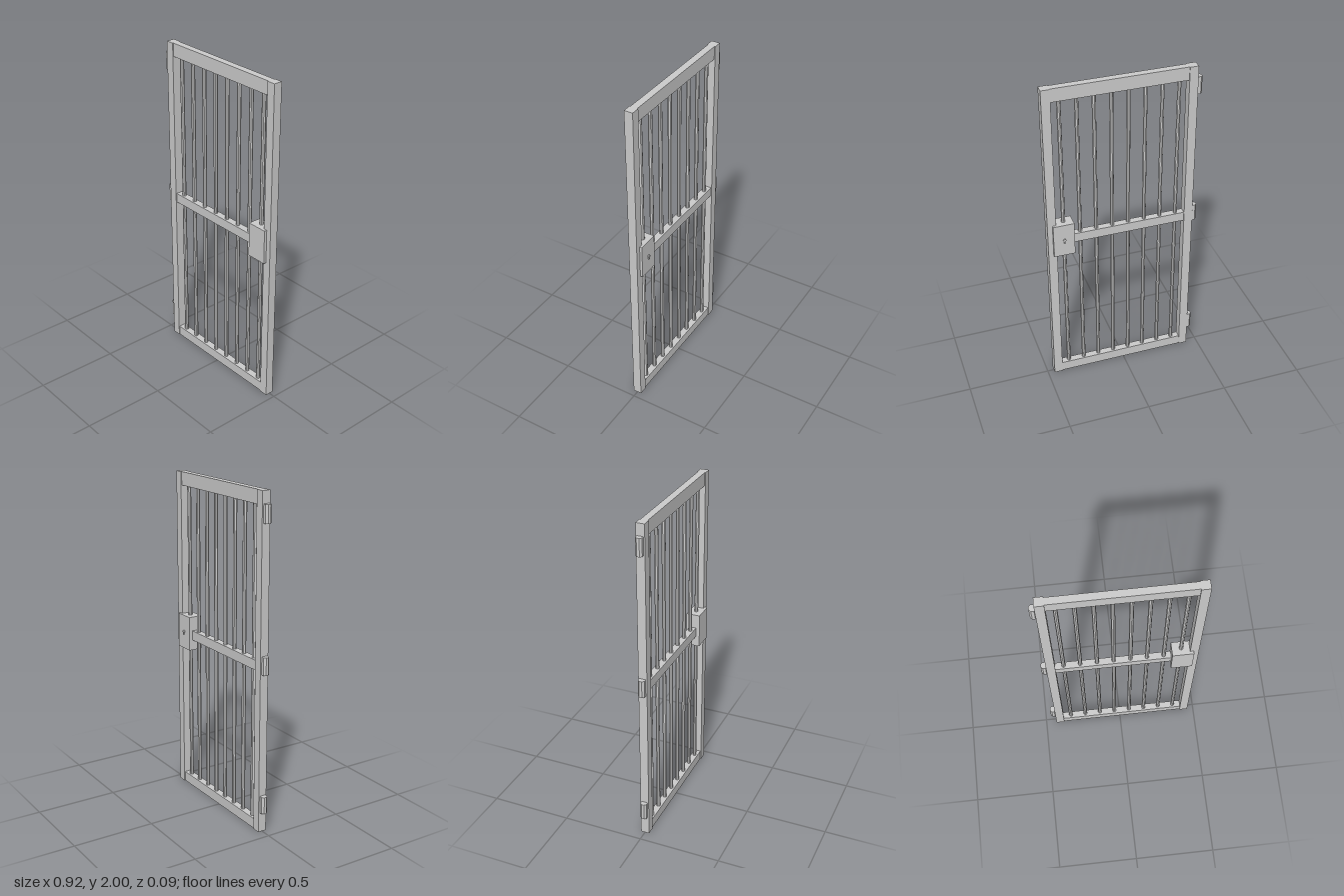
import * as THREE from 'three';

const Z = 0.001; // middle plane of the gate

export function createModel() {
  const gate = new THREE.Group();
  gate.name = 'barredGate';
  const material = new THREE.MeshStandardMaterial({ color: 0xcccccc, flatShading: true });

  const add = (name, geometry, x, y, z) => {
    const mesh = new THREE.Mesh(geometry, material);
    mesh.name = name;
    mesh.position.set(x, y, z);
    gate.add(mesh);
    return mesh;
  };
  // Box given by its x and y limits, depth and z centre
  const box = (name, x0, x1, y0, y1, depth, z = Z) =>
    add(name, new THREE.BoxGeometry(x1 - x0, y1 - y0, depth), (x0 + x1) / 2, (y0 + y1) / 2, z);

  // Frame
  box('hingeStile', -0.432, -0.38, 0, 2, 0.052);
  box('lockStile', 0.408, 0.46, 0, 2, 0.052);
  box('topRail', -0.38, 0.408, 1.92, 2, 0.042);
  box('bottomRail', -0.38, 0.408, 0, 0.062, 0.042);
  box('middleRail', -0.38, 0.408, 0.985, 1.043, 0.042);

  // Vertical bars, ending at the rails
  const barGeometry = new THREE.CylinderGeometry(0.012, 0.012, 1.858, 8);
  for (let i = 0; i < 8; i++) add('bar', barGeometry, -0.33 + i * 0.0983, 0.991, Z);

  // Hinge barrels
  const hingeGeometry = new THREE.CylinderGeometry(0.021, 0.021, 0.105, 8);
  hingeGeometry.rotateY(Math.PI / 8);
  for (const y of [0.176, 1.026, 1.877]) add('hinge', hingeGeometry, -0.443, y, Z);

  // Lock case with a keyhole boss and its lower slot on the back
  box('lockCase', 0.303, 0.43, 0.92, 1.13, 0.084, 0.002);
  const boss = new THREE.CylinderGeometry(0.009, 0.009, 0.008, 8);
  boss.rotateX(Math.PI / 2);
  add('keyholeBoss', boss, 0.365, 1.027, -0.043);
  box('keyholeSlot', 0.361, 0.369, 1.008, 1.024, 0.008, -0.043);

  return gate;
}
